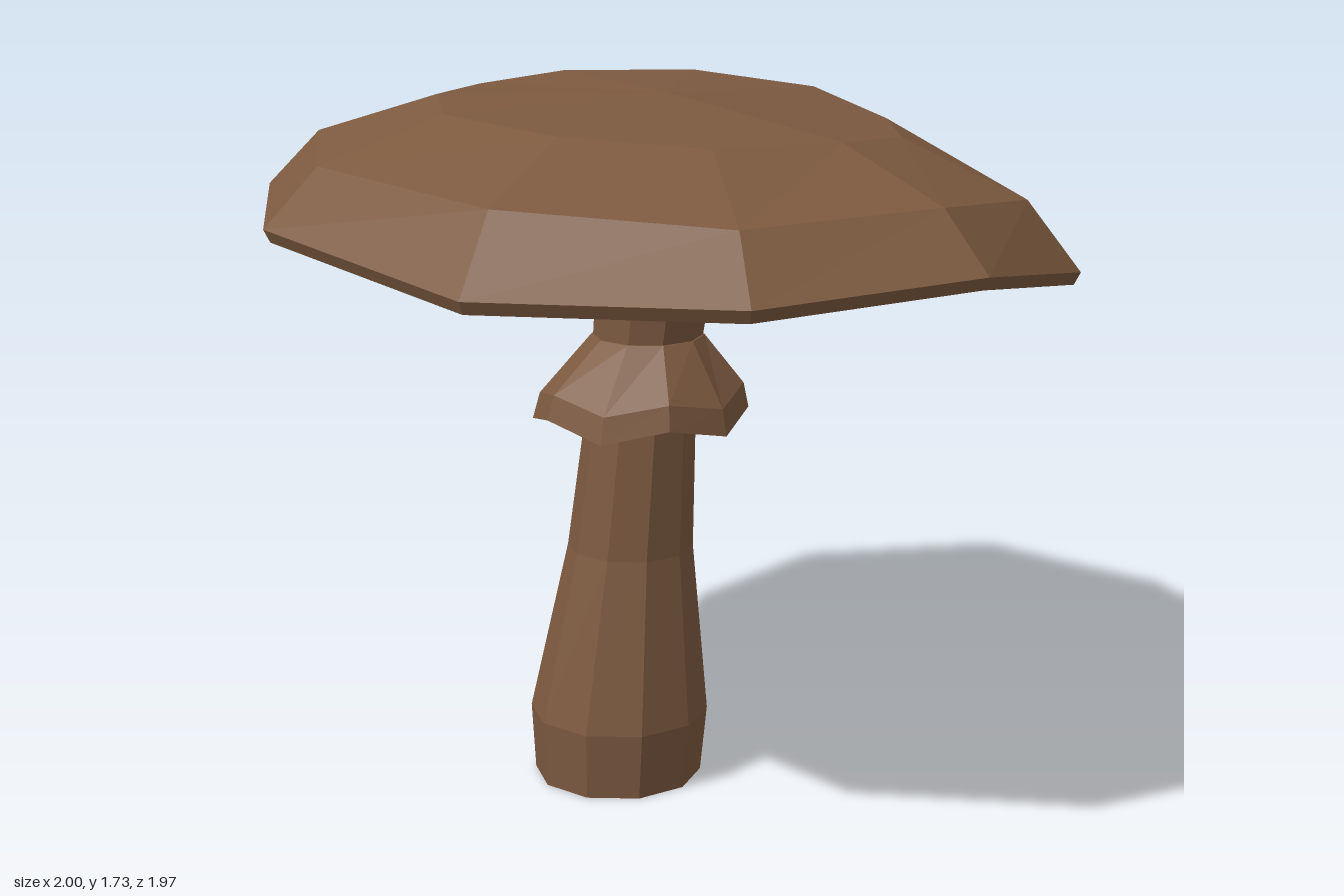
import * as THREE from 'three';

// Joins closed rings of points, ordered from underside to top, into a faceted skin
function loft(rings) {
  const out = [];
  const tri = (a, b, c) => {
    const n = b.clone().sub(a).cross(c.clone().sub(a));
    if (n.length() > 1e-9) for (const p of [a, b, c]) out.push(p.x, p.y, p.z);
  };
  for (let k = 0; k < rings.length - 1; k++) {
    const lo = rings[k], up = rings[k + 1], n = lo.length;
    for (let j = 0; j < n; j++) {
      const m = (j + 1) % n;
      tri(lo[j], up[j], lo[m]);
      tri(lo[m], up[j], up[m]);
    }
  }
  const g = new THREE.BufferGeometry();
  g.setAttribute('position', new THREE.Float32BufferAttribute(out, 3));
  g.computeVertexNormals();
  return g;
}

// Regular ring around (cx, cz); wave lifts every second corner
function ring(n, cx, cz, r, y, wave = 0) {
  return Array.from({ length: n }, (_, i) => {
    const a = (i / n) * Math.PI * 2;
    return new THREE.Vector3(cx + r * Math.cos(a), y + (i % 2 ? wave : 0), cz + r * Math.sin(a));
  });
}

export function createModel() {
  const group = new THREE.Group();
  const brown = new THREE.MeshStandardMaterial({ color: 0x7d5a40 });
  brown.name = 'mushroomBrown';
  const add = (name, geometry) => {
    const mesh = new THREE.Mesh(geometry, brown);
    mesh.name = name;
    group.add(mesh);
  };

  // Cap: one row per corner: rim x, rim z, rim y, shoulder y, crown y
  const corners = [
    [0.04, -0.99, 1.385, 1.55, 1.69],
    [0.58, -0.76, 1.30, 1.48, 1.65],
    [0.93, -0.34, 1.36, 1.52, 1.65],
    [1.00, 0.18, 1.44, 1.57, 1.675],
    [0.75, 0.68, 1.42, 1.56, 1.68],
    [0.23, 0.98, 1.42, 1.59, 1.70],
    [-0.40, 0.93, 1.49, 1.62, 1.715],
    [-0.81, 0.53, 1.50, 1.63, 1.72],
    [-1.00, 0.06, 1.47, 1.62, 1.71],
    [-0.98, -0.48, 1.475, 1.62, 1.715],
    [-0.58, -0.92, 1.50, 1.63, 1.71],
  ];
  const capRing = (s, yOf) => corners.map((c) => new THREE.Vector3(c[0] * s, yOf(c), c[1] * s));
  add('cap', loft([
    capRing(0, () => 1.37),
    capRing(0.55, (c) => 1.365 + 0.4 * (c[2] - 1.42)),
    capRing(0.985, (c) => c[2] - 0.03),
    capRing(1, (c) => c[2]),
    capRing(0.87, (c) => c[3]),
    capRing(0.57, (c) => c[4]),
    capRing(0, () => 1.73),
  ]));

  // Stem: leaning, swollen at the foot; rows are centre x, centre z, radius, height
  const stem = [
    [-0.125, 0.05, 0, 0],
    [-0.125, 0.05, 0.21, 0],
    [-0.12, 0.05, 0.223, 0.17],
    [-0.097, 0.03, 0.156, 0.6],
    [-0.07, 0.02, 0.135, 0.95],
    [-0.055, 0.01, 0.134, 1.14],
    [-0.025, 0.002, 0.147, 1.4],
  ];
  add('stem', loft(stem.map(([x, z, r, y]) => ring(10, x, z, r, y))));

  // Skirt: flared collar with a wavy hem, hollow underneath
  add('skirt', loft([
    ring(10, -0.065, 0.02, 0.13, 1.02),
    ring(10, -0.07, 0.022, 0.225, 0.98, 0.03),
    ring(10, -0.07, 0.022, 0.265, 0.925, 0.035),
    ring(10, -0.068, 0.02, 0.25, 0.99, 0.03),
    ring(10, -0.055, 0.01, 0.138, 1.14),
    ring(10, -0.055, 0.01, 0.12, 1.14),
  ]));

  return group;
}
